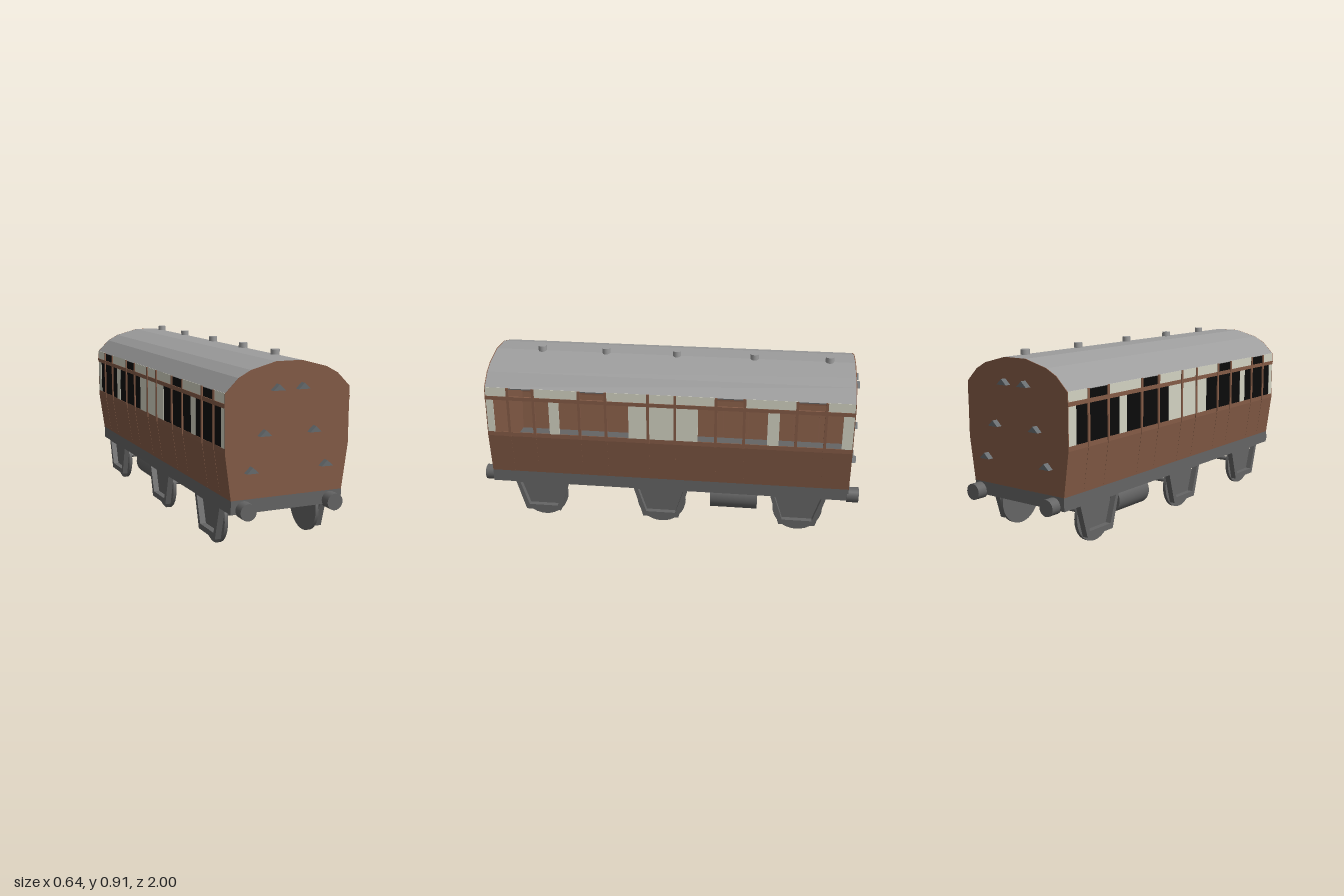
import * as THREE from 'three';

const paint = (name, color) => {
  const m = new THREE.MeshStandardMaterial({ color });
  m.name = name;
  return m;
};

export function createModel() {
  const model = new THREE.Group();
  model.name = 'railwayCarriage';
  const brown = paint('brown', 0x845b46);
  const cream = paint('cream', 0xd2d2c2);
  const black = paint('black', 0x0a0a0a);
  const roofGrey = paint('roofGrey', 0x9d9d9d);
  const frameGrey = paint('frameGrey', 0x646464);
  const stepGrey = paint('stepGrey', 0x666b6e);

  const add = (name, geo, mat, x = 0, y = 0, z = 0, parent = model) => {
    const m = new THREE.Mesh(geo, mat);
    m.name = name;
    m.position.set(x, y, z);
    parent.add(m);
    return m;
  };
  const group = (name) => {
    const g = new THREE.Group();
    g.name = name;
    model.add(g);
    return g;
  };
  const shapeOf = (pts) => new THREE.Shape(pts.map((p) => new THREE.Vector2(p[0], p[1])));
  // Prism of an x-y outline between two z values
  const prism = (pts, z0, z1) =>
    new THREE.ExtrudeGeometry(shapeOf(pts), { depth: z1 - z0, bevelEnabled: false }).translate(0, 0, z0);
  const mirrorX = (pts) => pts.map(([x, y]) => [-x, y]);

  const END = 0.947;

  // Roof shell and the matching end walls
  const arch = [[0.315, 0.755], [0.25, 0.82], [0.19, 0.852], [0.065, 0.885]];
  const fullArch = [...arch, ...mirrorX(arch).reverse()];
  const inner = fullArch.map(([x, y]) => [x * 0.98, y - 0.008]).reverse();
  add('roof', prism([...fullArch, ...inner], -END + 0.004, END - 0.004), roofGrey);
  const endOutline = [[-0.285, 0.27], [-0.315, 0.487], ...fullArch.slice().reverse(), [0.315, 0.487], [0.285, 0.27]];
  add('frontEndWall', prism(endOutline, END - 0.004, END), brown);
  add('backEndWall', prism(endOutline, -END, -END + 0.004), brown);

  // Roof ventilators
  for (const z of [-0.815, -0.43, -0.025, 0.35, 0.695])
    add('roofVentilator', new THREE.CylinderGeometry(0.022, 0.022, 0.05, 16), roofGrey, 0.06, 0.885, z);

  // Underframe, which is also the floor
  add('underframe', new THREE.BoxGeometry(0.57, 0.065, END * 2), frameGrey, 0, 0.2385, 0);

  // Each bay: rear edge, front edge, and the two door posts
  const bays = [
    [0.612, 0.906, 0.692, 0.826],
    [0.195, 0.559, 0.313, 0.452],
    [-0.516, -0.163, -0.398, -0.254],
    [-0.89, -0.575, -0.805, -0.66],
  ];
  const posts = [0.094, -0.045, ...bays.flatMap((b) => [b[2], b[3]])];
  const LOW = 0.51, MID = 0.7, TOP = 0.757;

  for (const s of [1, -1]) {
    const side = group(s > 0 ? 'leftSide' : 'rightSide');
    // Thin upright plate spanning y0..y1 and z0..z1 with its outer face at x
    const plate = (name, mat, y0, y1, z0, z1, x = 0.315, t = 0.005) =>
      add(name, new THREE.BoxGeometry(t, y1 - y0, z1 - z0), mat, s * (x - t / 2), (y0 + y1) / 2, (z0 + z1) / 2, side);
    const place = (pts) => (s > 0 ? pts : mirrorX(pts));

    // Tumblehome lower panel
    const lower = [[0.285, 0.27], [0.315, 0.487], [0.315, LOW], [0.31, LOW], [0.31, 0.487], [0.28, 0.27]];
    add('lowerPanel', prism(place(lower), -END + 0.004, END - 0.004), brown, 0, 0, 0, side);

    // Cream panels between window bays, and above the windows beside each door
    const edges = [END - 0.004, ...bays.flatMap((b) => [b[1], b[0]]), -END + 0.004];
    for (let i = 0; i < edges.length; i += 2) plate('creamPanel', cream, LOW, MID, edges[i + 1], edges[i]);
    const topEdges = [END - 0.004, ...bays.flatMap((b) => [b[3], b[2]]), -END + 0.004];
    for (let i = 0; i < topEdges.length; i += 2) plate('upperCreamPanel', cream, MID, TOP, topEdges[i + 1], topEdges[i]);

    // Brown waist rail, door posts and door seams
    plate('windowRail', brown, 0.69, 0.71, -END, END, 0.318, 0.01);
    for (const z of posts) {
      plate('doorPost', brown, 0.487, TOP, z - 0.007, z + 0.007, 0.319, 0.01);
      const seam = [[0.286, 0.275], [0.3165, 0.487], [0.31, 0.487], [0.28, 0.275]];
      add('doorSeam', prism(place(seam), z - 0.004, z + 0.004), brown, 0, 0, 0, side);
    }

    // Dark panes, fitted on one side only; the other side is open
    if (s < 0)
      for (const [z0, z1, d0, d1] of bays) {
        plate('windowPane', black, LOW, MID, z0, z1, 0.313, 0.004);
        plate('doorTopLight', black, MID, TOP, d0, d1, 0.313, 0.004);
      }
  }

  // End steps: shallow wedges climbing both ends
  const wedge = [[-0.03, 0], [0.03, 0], [0, 0.028]];
  for (const e of [1, -1])
    for (const s of [1, -1])
      for (const [x, y] of [[0.063, 0.758], [0.127, 0.557], [0.19, 0.393]])
        add('endStep', prism(wedge, -0.015, 0.015), stepGrey, s * x, y, e * (END + 0.014));

  // Buffers
  for (const [x, e] of [[0.222, 1], [-0.222, 1], [0.25, -1], [-0.222, -1]])
    add('buffer', new THREE.CylinderGeometry(0.04, 0.04, 0.06, 24).rotateX(Math.PI / 2), frameGrey, x, 0.225, e * 0.97);

  // Wheelsets with trapezoid axle guards
  const guard = shapeOf([[-0.145, 0.21], [-0.095, 0.042], [0.095, 0.042], [0.145, 0.21]]);
  guard.holes.push(new THREE.Path([[-0.122, 0.203], [0.122, 0.203], [0.078, 0.07], [-0.078, 0.07]]
    .map((p) => new THREE.Vector2(p[0], p[1]))));
  const guardGeo = new THREE.ExtrudeGeometry(guard, { depth: 0.03, bevelEnabled: false })
    .translate(0, 0, -0.015).rotateY(Math.PI / 2);
  const wheelGeo = new THREE.CylinderGeometry(0.13, 0.13, 0.017, 32).rotateZ(Math.PI / 2);
  for (const z of [0.68, 0.035, -0.69]) {
    const set = group('wheelset');
    add('axle', new THREE.CylinderGeometry(0.012, 0.012, 0.47, 12).rotateZ(Math.PI / 2), frameGrey, 0, 0.13, z, set);
    for (const s of [1, -1]) {
      add('wheel', wheelGeo, frameGrey, s * 0.242, 0.13, z, set);
      add('axleGuard', guardGeo, frameGrey, s * 0.27, 0, z, set);
    }
  }

  // Twin tanks under the floor
  for (const s of [1, -1])
    add('tank', new THREE.CylinderGeometry(0.075, 0.075, 0.25, 32).rotateX(Math.PI / 2), frameGrey, s * 0.16, 0.143, -0.35);

  return model;
}
